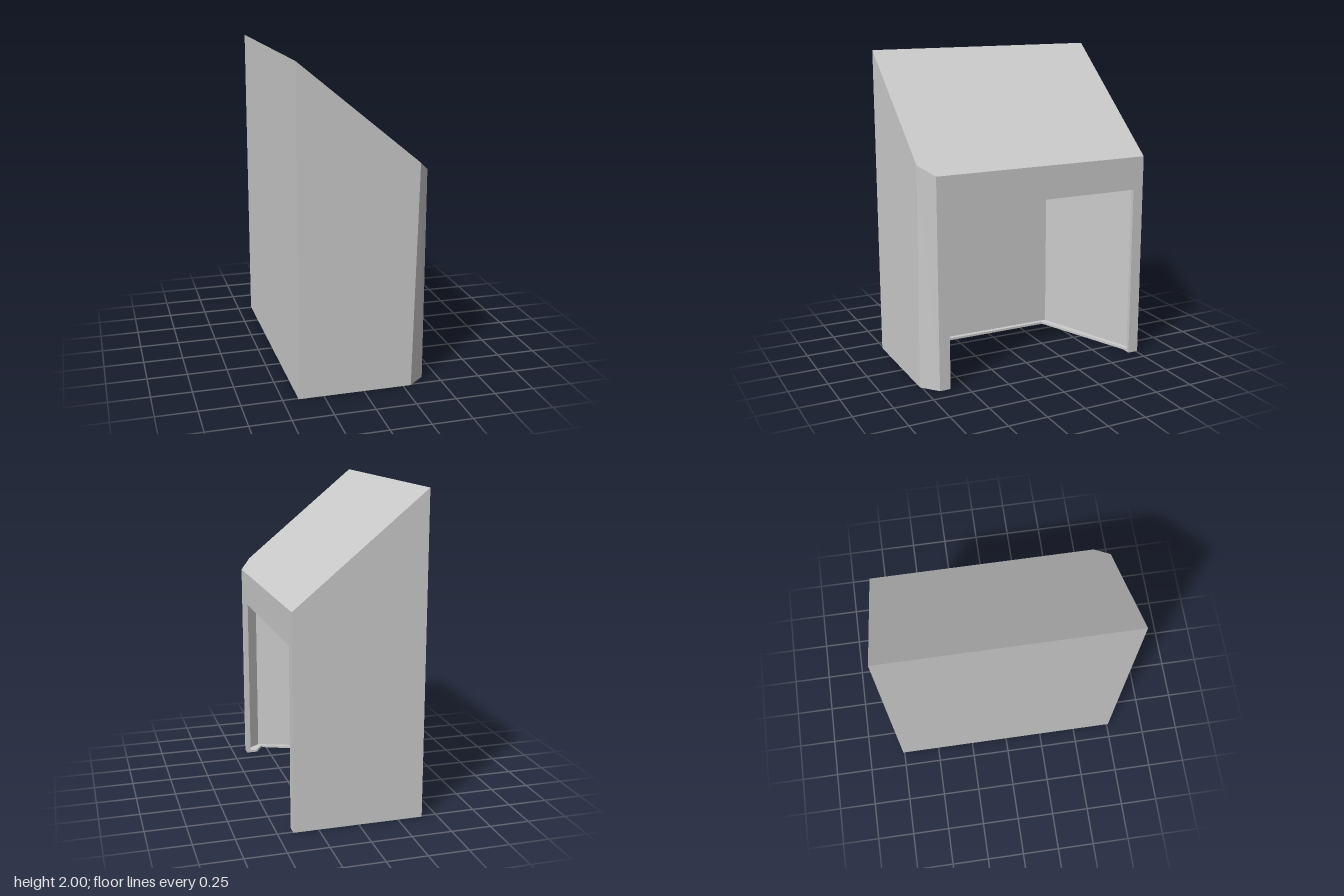
import * as THREE from 'three';

const material = new THREE.MeshStandardMaterial({ color: 0xcccccc, flatShading: true, side: THREE.DoubleSide });

// Lift plan points [x, z] to 3D with a height rule
const lift = (plan, height) => plan.map(([x, z]) => [x, height(x), z]);

// Row of quads between two matching chains of 3D points
function strip(lower, upper) {
  const v = [];
  for (let i = 0; i < lower.length - 1; i++) {
    const [a, b, c, d] = [lower[i], lower[i + 1], upper[i + 1], upper[i]];
    v.push(...a, ...b, ...d, ...b, ...c, ...d);
  }
  const g = new THREE.BufferGeometry();
  g.setAttribute('position', new THREE.Float32BufferAttribute(v, 3));
  g.computeVertexNormals();
  return g;
}

const flat = (points) => new THREE.ShapeGeometry(new THREE.Shape(points.map(([a, b]) => new THREE.Vector2(a, b))));

// Horizontal or sloping plate over a plan outline, facing up or down
function plate(plan, height, up) {
  const s = up ? -1 : 1;
  const g = flat(plan.map(([x, z]) => [x, s * z])).rotateX(s * Math.PI / 2);
  const p = g.attributes.position;
  for (let i = 0; i < p.count; i++) p.setY(i, height(p.getX(i)));
  g.computeVertexNormals();
  return g;
}

export function createModel() {
  const group = new THREE.Group();
  const add = (name, geometry) => {
    const mesh = new THREE.Mesh(geometry, material);
    mesh.name = name;
    group.add(mesh);
  };

  const X = 0.405, Z = 0.76, inX = 0.38;
  const doorFront = 0.6, doorBack = -0.69, doorTop = 1.12, lipY = 0.015;
  const roofY = (x) => 2 - (x + X) * 0.825;
  const ceilingY = (x) => 1.38 - (x + 0.36) * 0.135;
  const ground = () => 0;
  const lip = () => lipY;

  // Outer plan; the chamfered front corner leans a little
  const outline = (chamferX) => [[X, -Z], [-X, -Z], [-X, Z], [chamferX, Z], [X, 0.67]];
  const base = outline(0.3), top = outline(0.33);
  add('outerWalls', strip(lift(base, ground), lift(top, roofY)));
  add('slopingRoof', plate(top, roofY, true));

  // Side wall with the doorway cut up from the ground
  const doorWall = flat([
    [-0.67, 0], [-doorFront, 0], [-doorFront, doorTop], [-doorBack, doorTop],
    [-doorBack, 0], [Z, 0], [Z, roofY(X)], [-0.67, roofY(X)],
  ]);
  add('doorwayWall', doorWall.rotateY(Math.PI / 2).translate(X, 0, 0));

  // Reveal around the doorway
  const reveal = (x) => [[x, 0, doorFront], [x, doorTop, doorFront], [x, doorTop, doorBack], [x, 0, doorBack]];
  add('doorwayReveal', strip(reveal(inX), reveal(X)));

  // Tapering niche behind the doorway
  const niche = [[inX, doorFront], [inX, 0.65], [0.3, 0.71], [-0.36, 0.47], [-0.36, -0.47], [inX, -0.74], [inX, doorBack]];
  add('nicheWalls', strip(lift(niche, lip), lift(niche, ceilingY)));
  add('nicheCeiling', plate(niche, ceilingY, false));
  add('lintelBack', strip(
    [[inX, doorTop, doorBack], [inX, doorTop, doorFront]],
    [[inX, ceilingY(inX), doorBack], [inX, ceilingY(inX), doorFront]],
  ));

  // Low lip around the open floor
  const hole = [[inX, doorFront], [0.33, doorFront], [0.28, 0.68], [-0.33, 0.43], [-0.33, -0.43], [0.34, -0.69], [inX, doorBack]];
  add('floorLipEdge', strip(lift(hole, ground), lift(hole, lip)));
  add('floorLipTop', strip(lift(hole, lip), lift(niche, lip)));

  // Underside ring
  add('underside', plate([...base, [X, doorFront], ...hole, [X, doorBack]], ground, false));

  return group;
}
